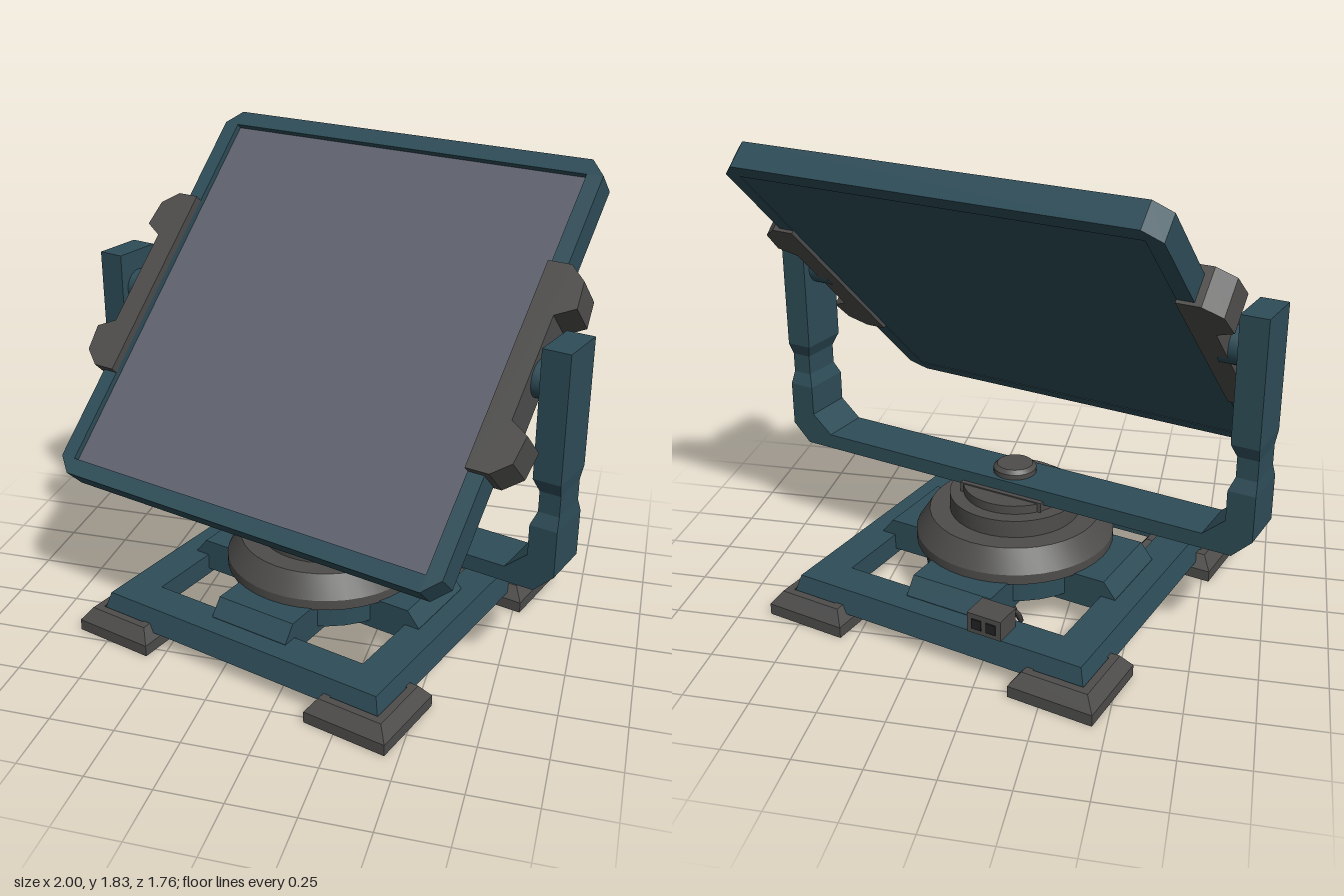
import * as THREE from 'three';
import { toCreasedNormals } from 'three/addons/utils/BufferGeometryUtils.js';

const paint = (name, color) => {
  const m = new THREE.MeshStandardMaterial({ color });
  m.name = name;
  return m;
};

const flat = (geometry) => {
  const g = geometry.index ? geometry.toNonIndexed() : geometry;
  g.computeVertexNormals();
  return g;
};

const polygon = (points) => new THREE.Shape(points.map(([x, y]) => new THREE.Vector2(x, y)));
const square = (h) => [[-h, -h], [h, -h], [h, h], [-h, h]];
const chamferedSquare = (h, c) => [
  [-h + c, -h], [h - c, -h], [h, -h + c], [h, h - c],
  [h - c, h], [-h + c, h], [-h, h - c], [-h, -h + c],
];
const extrude = (shape, depth) => new THREE.ExtrudeGeometry(shape, { depth, bevelEnabled: false });
const profile = (points) => points.map(([r, y]) => new THREE.Vector2(r, y));

// Rectangular-section bar through stations [outerX, outerY, innerX, innerY, halfWidth]
function sectionBar(stations) {
  const pos = [], index = [];
  for (const [ox, oy, ix, iy, w] of stations) pos.push(ox, oy, w, ix, iy, w, ix, iy, -w, ox, oy, -w);
  const quad = (a, b, c, d) => index.push(a, b, c, a, c, d);
  for (let i = 0; i < stations.length - 1; i++) {
    for (let k = 0; k < 4; k++) {
      const n = (k + 1) % 4;
      quad(i * 4 + k, i * 4 + n, i * 4 + 4 + n, i * 4 + 4 + k);
    }
  }
  const e = stations.length * 4 - 4;
  quad(0, 3, 2, 1);
  quad(e, e + 1, e + 2, e + 3);
  const g = new THREE.BufferGeometry();
  g.setAttribute('position', new THREE.Float32BufferAttribute(pos, 3));
  g.setIndex(index);
  return flat(g);
}

export function createModel() {
  const teal = paint('teal paint', 0x2e4d58);
  const grey = paint('dark grey metal', 0x4e4d4c);
  const glass = paint('panel glass', 0x60636f);
  const black = paint('black rubber', 0x222325);

  const model = new THREE.Group();
  model.name = 'tiltingPanel';
  const body = new THREE.Group();
  body.name = 'body';
  body.rotation.y = -0.314;
  model.add(body);

  const add = (parent, name, geometry, material, x = 0, y = 0, z = 0) => {
    const mesh = new THREE.Mesh(geometry, material);
    mesh.name = name;
    mesh.position.set(x, y, z);
    parent.add(mesh);
    return mesh;
  };

  // Feet: hollow square blocks with chamfered shoulders
  const r2 = Math.SQRT2;
  const footGeo = flat(new THREE.LatheGeometry(profile([
    [0.10 * r2, 0.095], [0.135 * r2, 0], [0.1675 * r2, 0],
    [0.1675 * r2, 0.045], [0.13 * r2, 0.095], [0.10 * r2, 0.095],
  ]), 4, Math.PI / 4));
  for (const sx of [-1, 1]) for (const sz of [-1, 1]) add(body, 'foot', footGeo, grey, sx * 0.5325, 0, sz * 0.5325);

  // Square base frame, its outer top edge drawn in
  const frameShape = polygon(square(0.635));
  frameShape.holes.push(polygon(square(0.47)));
  const frameGeo = extrude(frameShape, 0.09);
  const p = frameGeo.attributes.position;
  for (let i = 0; i < p.count; i++) {
    if (p.getZ(i) > 0.05 && Math.abs(p.getX(i)) > 0.6) {
      p.setXY(i, Math.sign(p.getX(i)) * 0.61, Math.sign(p.getY(i)) * 0.61);
    }
  }
  frameGeo.rotateX(-Math.PI / 2);
  add(body, 'baseFrame', flat(frameGeo), teal, 0, 0.065, 0);

  // Cross beams with sloping ends
  const beamGeo = extrude(polygon([
    [-0.53, 0.09], [0.53, 0.09], [0.53, 0.157], [0.48, 0.22], [-0.48, 0.22], [-0.53, 0.157],
  ]), 0.34).translate(0, 0, -0.17);
  for (const turn of [0, Math.PI / 2]) add(body, 'crossBeam', beamGeo, teal).rotation.y = turn;
  add(body, 'hubPlate', toCreasedNormals(new THREE.CylinderGeometry(0.36, 0.36, 0.1, 32), 0.6), teal, 0, 0.17, 0);

  // Stepped turntable and its cap
  add(body, 'turntable', toCreasedNormals(new THREE.LatheGeometry(profile([
    [0, 0.215], [0.395, 0.215], [0.395, 0.255], [0.34, 0.34], [0.26, 0.34], [0.26, 0.41],
    [0.205, 0.41], [0.205, 0.445], [0, 0.445],
  ]), 40), 0.4), grey);
  add(body, 'turntableBlock', new THREE.BoxGeometry(0.36, 0.04, 0.24), grey, 0, 0.43, 0);
  add(body, 'cap', toCreasedNormals(new THREE.LatheGeometry(profile([
    [0.085, 0.48], [0.085, 0.515], [0.07, 0.53], [0, 0.53],
  ]), 24), 0.4), grey);

  // U-shaped yoke with a waist in each arm
  const half = [
    [1.02, 1.35, 0.915, 1.35, 0.10],
    [1.02, 0.87, 0.915, 0.87, 0.10],
    [1.015, 0.82, 0.935, 0.82, 0.08],
    [1.015, 0.74, 0.935, 0.74, 0.08],
    [1.02, 0.69, 0.915, 0.69, 0.10],
    [1.02, 0.51, 0.915, 0.57, 0.10],
    [0.945, 0.435, 0.83, 0.495, 0.10],
  ];
  const mirrored = half.map(([a, b, c, d, w]) => [-a, b, -c, d, w]).reverse();
  add(body, 'yoke', sectionBar([...half, ...mirrored]), teal);

  // Pivots joining the arms to the panel
  const pivotGeo = toCreasedNormals(new THREE.CylinderGeometry(0.07, 0.07, 0.12, 20), 0.6).rotateZ(Math.PI / 2);
  for (const s of [-1, 1]) add(body, 'pivot', pivotGeo, teal, s * 0.89, 1.2, 0);

  // Tilted panel
  const panel = new THREE.Group();
  panel.name = 'panel';
  panel.position.y = 1.2;
  panel.rotation.x = -Math.PI / 4;
  body.add(panel);
  const rimShape = polygon(chamferedSquare(0.838, 0.06));
  rimShape.holes.push(polygon(square(0.775)));
  add(panel, 'panelRim', extrude(rimShape, 0.105), teal, 0, 0, -0.0525);
  add(panel, 'panelBack', new THREE.BoxGeometry(1.55, 1.55, 0.07), teal, 0, 0, -0.0145);
  add(panel, 'panelGlass', new THREE.BoxGeometry(1.55, 1.55, 0.008), glass, 0, 0, 0.0245);

  // Side clamps with two lugs each
  const clampHalf = [[0.775, 0.4], [0.865, 0.4], [0.93, 0.345], [0.942, 0.24], [0.87, 0.2]];
  const clampGeo = extrude(polygon([
    ...clampHalf.map(([x, y]) => [x, -y]), ...clampHalf.slice().reverse(),
  ]), 0.15).translate(0, 0, -0.065);
  for (const turn of [0, Math.PI]) add(panel, 'sideClamp', clampGeo, grey).rotation.z = turn;

  // Connector box on the rear bar, with sockets and cables
  add(body, 'connectorBox', new THREE.BoxGeometry(0.14, 0.08, 0.11), grey, -0.22, 0.195, -0.56);
  for (const dx of [-0.03, 0.03]) {
    add(body, 'socket', new THREE.BoxGeometry(0.04, 0.04, 0.008), black, -0.22 + dx, 0.195, -0.616);
    const cable = new THREE.CatmullRomCurve3([
      [-0.22 + dx, 0.19, -0.51], [-0.22 + dx, 0.17, -0.44], [-0.2 + dx, 0.08, -0.36],
      [-0.12 + dx, 0.07, -0.28], [-0.04 + dx, 0.13, -0.2],
    ].map((v) => new THREE.Vector3(...v)));
    add(body, 'cable', new THREE.TubeGeometry(cable, 20, 0.01, 8), grey);
  }

  return model;
}
